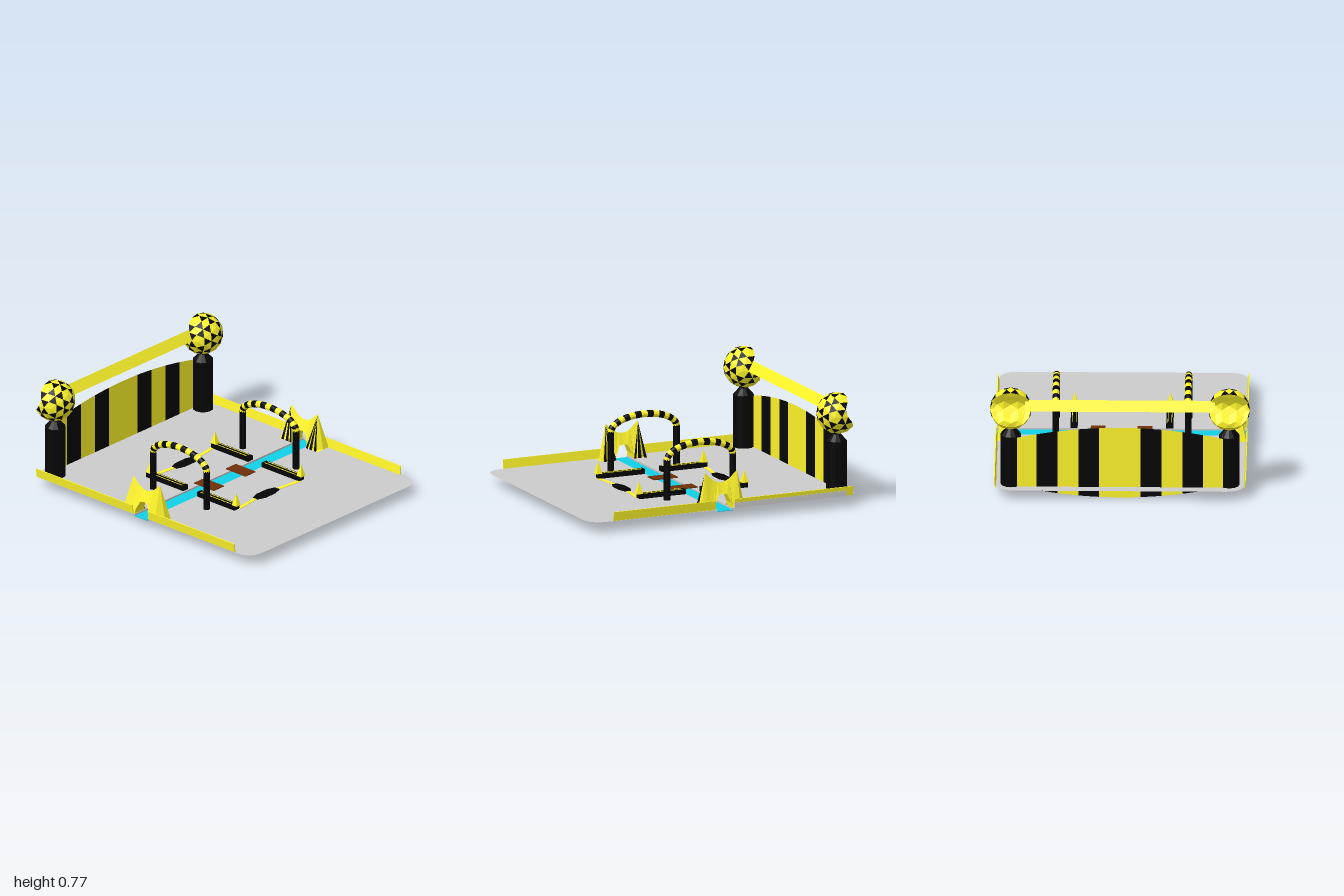
import * as THREE from 'three';

const mat = color =>
  new THREE.MeshStandardMaterial({ color, flatShading: true, side: THREE.DoubleSide });
const YELLOW = mat(0xfff52a), BLACK = mat(0x050505), GREY = mat(0xcccccc);
const CYAN = mat(0x10d0e8), BROWN = mat(0x6e3008);
const G = 0.077; // ground level

function add(parent, name, geometry, material, x = 0, y = 0, z = 0) {
  const m = new THREE.Mesh(geometry, material);
  m.name = name;
  m.position.set(x, y, z);
  parent.add(m);
  return m;
}

function box(parent, name, material, x0, x1, y0, y1, z0, z1) {
  return add(parent, name, new THREE.BoxGeometry(x1 - x0, y1 - y0, z1 - z0), material,
    (x0 + x1) / 2, (y0 + y1) / 2, (z0 + z1) / 2);
}

// flat-shaded triangles from a list of [x, y, z] corners
function facets(points) {
  const g = new THREE.BufferGeometry();
  g.setAttribute('position', new THREE.Float32BufferAttribute(points.flat(), 3));
  g.computeVertexNormals();
  return g;
}

// flat outline in (x, z) raised from the ground by a small height
function slab(outline, height) {
  const shape = new THREE.Shape(outline.map(([x, z]) => new THREE.Vector2(x, -z)));
  return new THREE.ExtrudeGeometry(shape, { depth: height, bevelEnabled: false })
    .rotateX(-Math.PI / 2).translate(0, G, 0);
}

// half of the thin floor sheet, rounded at the two outer corners
function floorHalf() {
  const s = new THREE.Shape(), w = 0.84, r = 0.13;
  s.moveTo(-w, -0.058);
  s.lineTo(-w, -1 + r);
  s.quadraticCurveTo(-w, -1, -w + r, -1);
  s.lineTo(w - r, -1);
  s.quadraticCurveTo(w, -1, w, -1 + r);
  s.lineTo(w, -0.058);
  return new THREE.ShapeGeometry(s, 8).rotateX(-Math.PI / 2).translate(0, G - 0.001, 0);
}

// one stripe of the curved back panel
function panelStripe(x0, x1) {
  const s = new THREE.Shape(), n = 5;
  for (let i = 0; i <= n; i++) {
    const x = x0 + (x1 - x0) * i / n;
    s[i ? 'lineTo' : 'moveTo'](x, 0.165 * x * x);
  }
  for (let i = n; i >= 0; i--) {
    const x = x0 + (x1 - x0) * i / n;
    s.lineTo(x, 0.51 - 0.16 * x * x);
  }
  return new THREE.ShapeGeometry(s);
}

// faceted ball with a checkered front and a dented plain back
function dentedBall(parent, x) {
  const p = new THREE.IcosahedronGeometry(0.142, 2).getAttribute('position');
  const dent = [[-0.15, -0.02], [-0.12, -0.07], [-0.065, -0.085], [-0.03, -0.03],
    [0.03, 0], [0.125, -0.045], [0.15, -0.045]];
  const limit = y => {
    const i = dent.findIndex(d => y <= d[0]);
    const [ya, za] = dent[i - 1], [yb, zb] = dent[i];
    return za + (zb - za) * (y - ya) / (yb - ya);
  };
  const light = [], dark = [];
  for (let f = 0; f < p.count / 3; f++) {
    let depth = 0;
    const tri = [0, 1, 2].map(k => {
      const i = f * 3 + k, y = p.getY(i);
      depth += p.getZ(i) / 3;
      return [p.getX(i), y, Math.max(p.getZ(i), limit(y))];
    });
    // the three inverted triangles of each nine are dark
    const inverted = [1, 3, 6].includes(f % 9);
    (inverted && depth > -0.05 ? dark : light).push(...tri);
  }
  const ball = new THREE.Group();
  ball.name = 'postBall';
  ball.position.set(x, 0.628, -0.883);
  add(ball, 'lightFacets', facets(light), YELLOW);
  add(ball, 'darkFacets', facets(dark), BLACK);
  parent.add(ball);
}

// twin peaks joined by a sagging ridge over the end of the river
function twinPeaks(parent, side) {
  const half = [[0.17, 0.08, G, 0.055], [0.12, 0.325, G, 0.055], [0.065, 0.275, G, 0.05],
    [0.06, 0.27, 0.11, 0.045], [0.03, 0.255, 0.17, 0.03]];
  const stations = [...half, [0, 0.25, 0.175, 0.026],
    ...half.slice().reverse().map(([z, ...rest]) => [-z, ...rest])];
  const cx = side * 0.785;
  const rings = stations.map(([z, top, bottom, w]) =>
    [[cx - w, bottom, z], [cx, top, z], [cx + w, bottom, z]]);
  const tris = [];
  for (let i = 0; i < rings.length - 1; i++)
    for (let k = 0; k < 3; k++) {
      const a = rings[i][k], b = rings[i][(k + 1) % 3];
      const c = rings[i + 1][k], d = rings[i + 1][(k + 1) % 3];
      tris.push(a, b, c, b, d, c);
    }
  add(parent, 'twinPeaks', facets(tris), YELLOW, 0, 0, 0.005);
  // dark stripes on the inner slopes
  const stripes = [];
  for (const e of [-1, 1])
    for (const [z0, z1] of [[0.16, 0.138], [0.12, 0.095], [0.083, 0.065]])
      stripes.push([cx - side * 0.004, 0.31, e * 0.12],
        [cx - side * 0.058, G, e * z0], [cx - side * 0.058, G, e * z1]);
  add(parent, 'peakStripes', facets(stripes), BLACK, 0, 0, 0.005);
}

// striped arch standing on two dark legs
function archway(parent, x) {
  const arch = new THREE.Group(), n = 17;
  arch.name = 'archway';
  arch.position.x = x;
  for (const z of [-0.244, 0.244])
    add(arch, 'archLeg', new THREE.CylinderGeometry(0.023, 0.023, 0.28, 10), BLACK, 0, G + 0.14, z);
  const at = t => new THREE.Vector3(0, 0.35 + 0.104 * Math.sin(t * Math.PI),
    -0.244 * Math.cos(t * Math.PI));
  for (let i = 0; i < n; i++) {
    const path = new THREE.CatmullRomCurve3([at(i / n), at((i + 0.5) / n), at((i + 1) / n)]);
    add(arch, 'archStripe', new THREE.TubeGeometry(path, 2, 0.023, 10), i % 2 ? BLACK : YELLOW);
  }
  parent.add(arch);
}

export function createModel() {
  const model = new THREE.Group();
  model.name = 'playField';

  // thin floor sheets, sunken river with grey banks, and bridges
  add(model, 'floorFront', floorHalf(), GREY);
  add(model, 'floorBack', floorHalf(), GREY).rotation.y = Math.PI;
  box(model, 'river', CYAN, -0.838, 0.838, 0.06, 0.064, -0.056, 0.056);
  for (const z of [-0.058, 0.058])
    box(model, 'riverBank', GREY, -0.84, 0.84, 0.06, G - 0.001, z - 0.002, z + 0.002);
  for (const x of [-0.155, 0.16])
    box(model, 'bridge', BROWN, x - 0.05, x + 0.05, 0.077, 0.083, -0.095, 0.085);

  // side walls, leaning slightly outward
  for (const s of [-1, 1]) {
    const x = s * 0.841, front = s < 0 ? 0.86 : 0.83;
    for (const [z0, z1] of [[0.07, front], [-0.95, -0.07]])
      box(model, 'sideWall', YELLOW, x - 0.003, x + 0.003, G, 0.14, z0, z1).rotation.z = -s * 0.14;
  }
  box(model, 'wallFooting', GREY, 0.843, 0.847, G, 0.113, -0.9, -0.07);

  // striped back panel behind two posts
  for (let i = 0; i < 10; i++) {
    const x = -0.7 + i * 0.14, dark = [1, 3, 6, 8].includes(i);
    add(model, 'panelStripe', panelStripe(x, x + 0.14), dark ? BLACK : YELLOW, 0, 0, -0.93);
  }
  const post = [[0, G], [0.07, G], [0.07, 0.44], [0.03, 0.485], [0, 0.485]]
    .map(([r, y]) => new THREE.Vector2(r, y));
  for (const s of [-1, 1]) {
    add(model, 'post', new THREE.LatheGeometry(post, 12), BLACK, s * 0.735, 0, -0.877);
    dentedBall(model, s * 0.735);
    twinPeaks(model, s);
    archway(model, s * 0.445 - 0.004);
  }

  // three-sided bar between the balls
  const bar = new THREE.Shape([[0.042, 0.627], [0, 0.695], [-0.042, 0.627]]
    .map(([z, y]) => new THREE.Vector2(-z, y)));
  add(model, 'crossBar', new THREE.ExtrudeGeometry(bar, { depth: 1.28, bevelEnabled: false })
    .rotateY(Math.PI / 2), YELLOW, -0.64, 0, -0.89);

  // inner court: troughs, corner spikes, flat tapered rails and dark centre pads
  for (const e of [-1, 1]) {
    const zc = e * 0.37 + 0.005;
    for (const s of [-1, 1]) {
      const x = s * 0.322, z0 = e > 0 ? 0.06 : -0.385, z1 = z0 + 0.32;
      box(model, 'trough', BLACK, x - 0.024, x + 0.024, G, 0.11, z0, z1);
      for (const d of [-0.013, 0.013])
        box(model, 'troughTrim', YELLOW, x + d - 0.002, x + d + 0.002, 0.109, 0.113, z0 + 0.02, z1 - 0.02);
      box(model, 'spikeBase', BLACK, x - 0.024, x + 0.024, G, 0.11, e * 0.385 - 0.018, e * 0.385 + 0.018);
      add(model, 'cornerSpike', new THREE.ConeGeometry(0.031, 0.085, 4).rotateY(Math.PI / 4),
        YELLOW, x, 0.152, e * 0.392 + 0.005);
      add(model, 'rail', slab([[s * 0.31, zc + e * 0.04], [s * 0.29, zc + e * 0.01],
        [s * 0.1, zc - e * 0.012], [s * 0.1, zc + e * 0.014]], 0.003), YELLOW);
    }
    add(model, 'centrePad', slab([[-0.11, zc - 0.02], [-0.05, zc - 0.041], [0.05, zc - 0.041],
      [0.11, zc - 0.02], [0.11, zc + 0.02], [0.05, zc + 0.041], [-0.05, zc + 0.041],
      [-0.11, zc + 0.02]], 0.005), BLACK);
  }
  return model;
}
